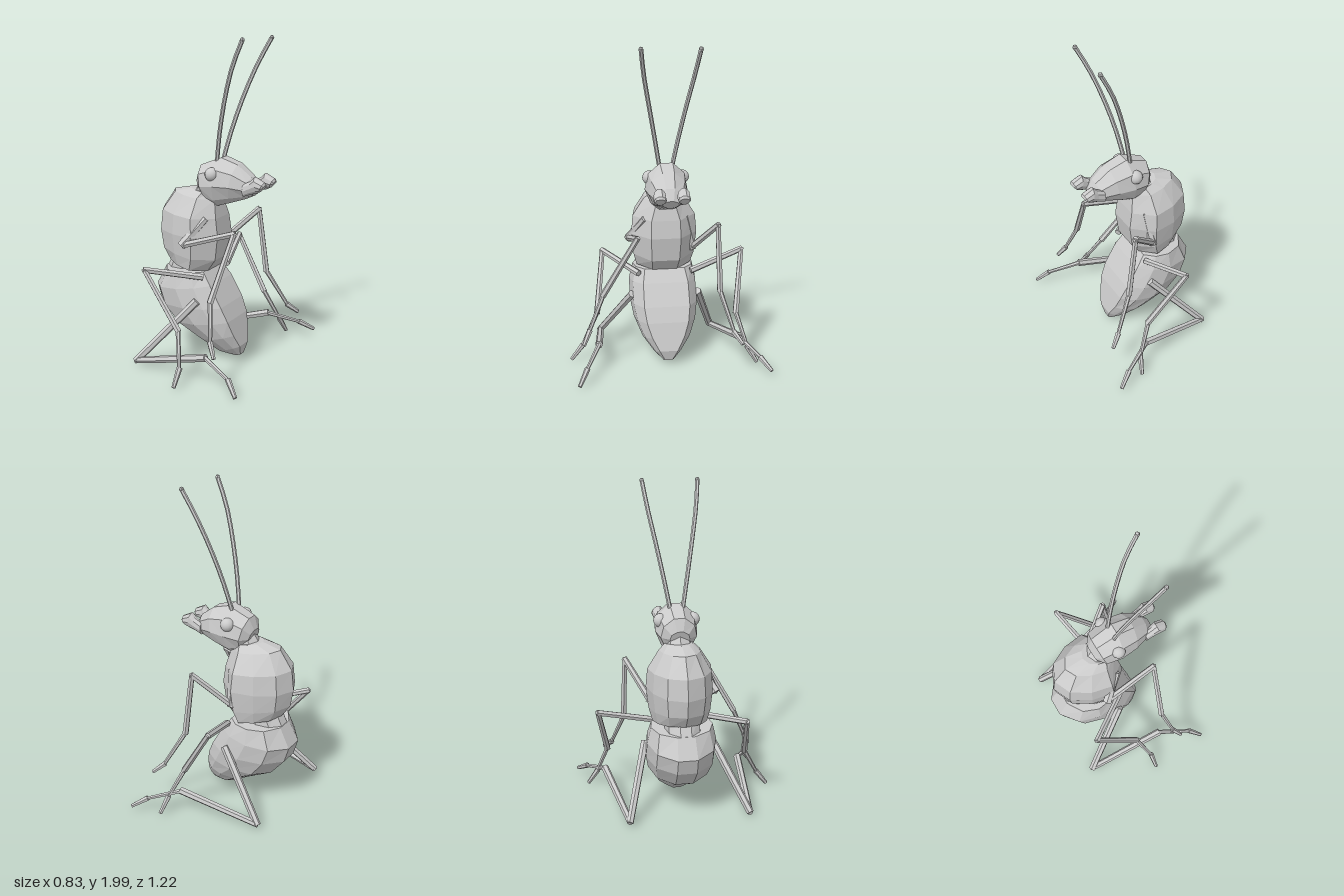
import * as THREE from 'three';

const mat = new THREE.MeshStandardMaterial({ color: 0xcccccc, flatShading: true });
const smooth = new THREE.MeshStandardMaterial({ color: 0xcccccc });

// Half outlines of a ring: [share of the way from a to b, share of the half width]
const ROUND = [[0, 0.3], [0.22, 0.85], [0.55, 1], [0.85, 0.72], [1, 0.3]];
const CHEST = [[0, 0], [0.12, 0.55], [0.4, 0.88], [0.72, 1], [1, 0.45]];
const BELLY = [[0, 0.28], [0.2, 0.8], [0.52, 1], [0.8, 0.93], [1, 0.66]];

function add(parent, geo, name, material = mat) {
  const m = new THREE.Mesh(geo, material);
  m.name = name;
  parent.add(m);
  return m;
}

// Skin over rings; each section is [ax, ay, bx, by, halfWidth], a and b being opposite rim points.
function loft(sections, half) {
  const mirrored = half.filter(([, w]) => w > 0).map(([k, w]) => [k, -w]).reverse();
  const ring = [...half, ...mirrored], n = ring.length;
  const pos = [], idx = [];
  for (const [ax, ay, bx, by, hw] of sections) {
    for (const [k, w] of ring) pos.push(ax + (bx - ax) * k, ay + (by - ay) * k, hw * w);
  }
  const last = sections.length - 1;
  for (let i = 0; i < last; i++) {
    for (let j = 0; j < n; j++) {
      const a = i * n + j, b = i * n + (j + 1) % n;
      idx.push(a, b, b + n, a, b + n, a + n);
    }
  }
  for (let j = 1; j < n - 1; j++) {
    idx.push(0, j + 1, j, last * n, last * n + j, last * n + j + 1);
  }
  const g = new THREE.BufferGeometry();
  g.setAttribute('position', new THREE.Float32BufferAttribute(pos, 3));
  g.setIndex(idx);
  g.computeVertexNormals();
  return g;
}

// Tapered bar between two points
function bar(parent, p, q, r0, r1, name, sides = 6) {
  const a = new THREE.Vector3(...p), b = new THREE.Vector3(...q);
  const d = b.clone().sub(a), len = d.length();
  const m = add(parent, new THREE.CylinderGeometry(r1, r0, len + 0.014, sides), name);
  m.position.copy(a).add(b).multiplyScalar(0.5);
  m.quaternion.setFromUnitVectors(new THREE.Vector3(0, 1, 0), d.normalize());
}

// Leg through hip, knee, ankle, toe base, toe tip
function leg(parent, name, pts, thick) {
  const g = new THREE.Group();
  g.name = name;
  const parts = [
    ['femur', thick, thick * 0.9],
    ['tibia', thick * 0.8, thick * 0.95],
    ['tarsus', 0.015, 0.011],
    ['toe', 0.018, 0.012],
  ];
  parts.forEach(([part, r0, r1], i) => bar(g, pts[i], pts[i + 1], r0, r1, part));
  parent.add(g);
  return g;
}

export function createModel() {
  const root = new THREE.Group();
  root.name = 'ant';

  // Body, from the tail up
  add(root, loft([
    [0.09, 0.035, 0.16, 0.045, 0.035],
    [0.00, 0.05, 0.172, 0.11, 0.085],
    [-0.11, 0.125, 0.15, 0.19, 0.15],
    [-0.29, 0.225, 0.125, 0.28, 0.195],
    [-0.385, 0.34, 0.085, 0.37, 0.215],
    [-0.415, 0.44, 0.01, 0.50, 0.213],
    [-0.35, 0.565, -0.045, 0.578, 0.19],
  ], BELLY), 'abdomen');
  add(root, loft([
    [-0.35, 0.56, -0.1, 0.55, 0.11],
    [-0.30, 0.66, -0.1, 0.64, 0.11],
  ], ROUND), 'waist');
  add(root, loft([
    [-0.33, 0.62, -0.04, 0.575, 0.17],
    [-0.385, 0.70, 0.015, 0.65, 0.19],
    [-0.405, 0.81, 0.035, 0.80, 0.205],
    [-0.39, 0.94, 0.02, 0.91, 0.195],
    [-0.31, 1.055, -0.005, 1.02, 0.125],
    [-0.19, 1.08, -0.03, 1.06, 0.085],
  ], CHEST), 'thorax');
  bar(root, [-0.11, 0.99, 0], [-0.03, 1.12, 0], 0.085, 0.08, 'neck', 8);

  // Head, from the nape to the mouth
  add(root, loft([
    [-0.138, 1.15, -0.11, 1.06, 0.06],
    [-0.11, 1.225, -0.06, 1.0, 0.11],
    [0.03, 1.28, 0.0, 0.98, 0.13],
    [0.14, 1.245, 0.10, 1.01, 0.118],
    [0.23, 1.175, 0.19, 1.04, 0.085],
    [0.27, 1.11, 0.235, 1.06, 0.05],
  ], ROUND), 'head');

  for (const s of [1, -1]) {
    const eye = add(root, new THREE.SphereGeometry(0.042, 14, 10), 'eye', smooth);
    eye.position.set(0, 1.185, s * 0.1);

    const jaw = add(root, loft([
      [0.20, 1.14, 0.20, 1.065, 0.028],
      [0.25, 1.165, 0.25, 1.085, 0.032],
      [0.275, 1.19, 0.29, 1.095, 0.038],
      [0.335, 1.16, 0.31, 1.105, 0.037],
      [0.342, 1.145, 0.325, 1.12, 0.026],
    ], ROUND), 'mandible');
    jaw.position.z = s * 0.07;

    const lean = s > 0 ? 0 : 0.025;
    const path = new THREE.CatmullRomCurve3([
      [0.0, 1.23, 0.035], [0.035, 1.42, 0.068], [0.09, 1.63, 0.107],
      [0.16, 1.83, 0.145], [0.235, 1.985, 0.167],
    ].map(([x, y, z], i) => new THREE.Vector3(x + lean * i / 4, y, s * z)));
    add(root, new THREE.TubeGeometry(path, 8, 0.013, 6), 'antenna');
    const tip = add(root, new THREE.SphereGeometry(0.015, 6, 4), 'antennaTip');
    tip.position.copy(path.getPoint(1));
  }

  // Legs, posed differently on each side
  const frontNear = leg(root, 'frontLeg', [
    [-0.13, 0.76, 0.215], [0.2, 0.865, 0.195], [0.155, 0.5, 0.4],
    [0.205, 0.29, 0.49], [0.245, 0.22, 0.525]], 0.021);
  bar(frontNear, [-0.03, 0.91, 0.13], [-0.14, 0.76, 0.215], 0.02, 0.03, 'coxa');
  const frontFar = leg(root, 'frontLeg', [
    [-0.08, 0.70, -0.175], [0.12, 0.905, -0.305], [0.17, 0.5, -0.315],
    [0.29, 0.27, -0.385], [0.345, 0.22, -0.425]], 0.021);
  bar(frontFar, [-0.05, 0.91, -0.13], [-0.08, 0.70, -0.175], 0.02, 0.03, 'coxa');

  leg(root, 'middleLeg', [
    [-0.03, 0.56, 0.17], [-0.31, 0.62, 0.375], [-0.045, 0.3, 0.43],
    [0.02, 0.11, 0.53], [0.022, 0.025, 0.595]], 0.021);
  leg(root, 'middleLeg', [
    [-0.04, 0.56, -0.17], [-0.12, 0.66, -0.5], [0.1, 0.32, -0.43],
    [0.19, 0.12, -0.49], [0.21, 0.03, -0.545]], 0.021);

  leg(root, 'hindLeg', [
    [-0.05, 0.41, 0.21], [-0.365, 0.04, 0.395], [0.135, 0.165, 0.43],
    [0.335, 0.1, 0.515], [0.4, 0.03, 0.56]], 0.025);
  leg(root, 'hindLeg', [
    [-0.05, 0.41, -0.21], [-0.365, 0.04, -0.345], [0.12, 0.165, -0.445],
    [0.31, 0.1, -0.55], [0.385, 0.05, -0.6]], 0.025);

  return root;
}
